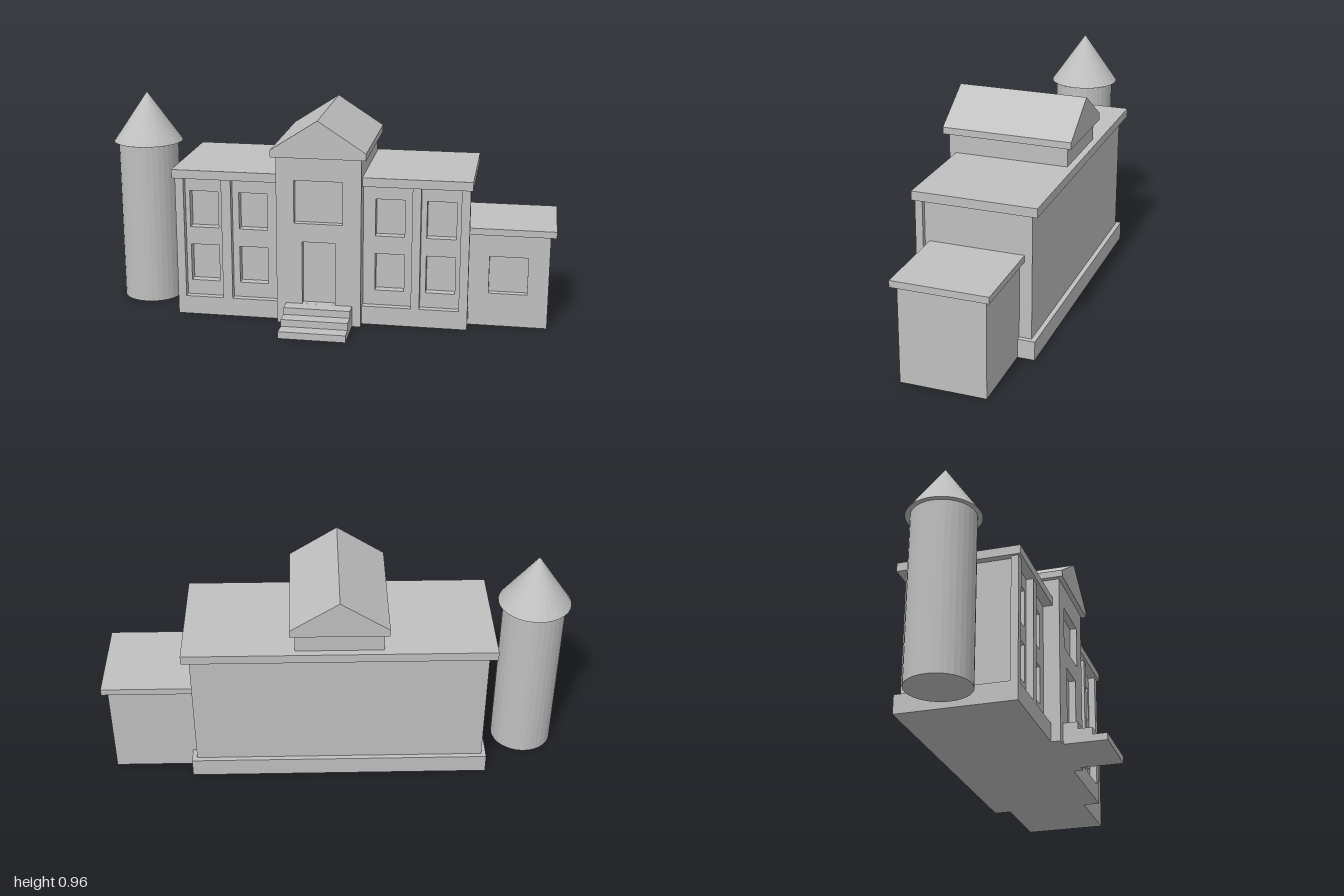
import * as THREE from 'three';

export function createModel() {
  const model = new THREE.Group();
  model.name = 'townHall';
  const stone = new THREE.MeshStandardMaterial({ color: 0xc0c0c0 });
  stone.name = 'light grey stone';

  function add(name, geometry, parent = model) {
    const mesh = new THREE.Mesh(geometry, stone);
    mesh.name = name;
    parent.add(mesh);
    return mesh;
  }

  // Box given by its limits on each axis
  function box(name, x0, x1, y0, y1, z0, z1, parent) {
    const g = new THREE.BoxGeometry(x1 - x0, y1 - y0, z1 - z0);
    g.translate((x0 + x1) / 2, (y0 + y1) / 2, (z0 + z1) / 2);
    return add(name, g, parent);
  }

  function rectPoints(x0, x1, y0, y1) {
    return [[x0, y0], [x1, y0], [x1, y1], [x0, y1]].map(p => new THREE.Vector2(...p));
  }

  // Solid block whose front layer has rectangular recesses [x0, x1, y0, y1]
  function recessedBlock(name, x0, x1, y1, zBack, zFront, depth, openings) {
    const group = new THREE.Group();
    group.name = name;
    model.add(group);
    box(name + 'Core', x0, x1, 0, y1, zBack, zFront - depth, group);
    const shape = new THREE.Shape(rectPoints(x0, x1, 0, y1));
    for (const o of openings) shape.holes.push(new THREE.Path(rectPoints(...o).reverse()));
    const g = new THREE.ExtrudeGeometry(shape, { depth, bevelEnabled: false });
    g.translate(0, 0, zFront - depth);
    add(name + 'Facade', g, group);
  }

  // Main building with two rows of windows
  const windows = [];
  for (const [x0, x1] of [[-0.598, -0.47], [-0.377, -0.25], [0.227, 0.354], [0.449, 0.576]]) {
    windows.push([x0, x1, 0.15, 0.318], [x0, x1, 0.398, 0.564]);
  }
  recessedBlock('mainWall', -0.635, 0.613, 0.628, -0.343, 0.115, 0.04, windows);
  box('plinth', -0.655, 0.634, 0, 0.083, -0.364, 0.146);
  box('mainRoof', -0.666, 0.644, 0.628, 0.667, -0.373, 0.157);

  // Pilasters between the window bays; the outer ones wrap the corners
  for (const [x0, x1] of [[-0.655, -0.618], [-0.449, -0.406], [0.388, 0.425], [0.596, 0.634]]) {
    box('pilaster', x0, x1, 0.083, 0.628, 0.115, 0.146);
  }
  box('cornerReturnLeft', -0.655, -0.634, 0.083, 0.628, 0.114, 0.146);
  box('cornerReturnRight', 0.612, 0.634, 0.083, 0.628, 0.114, 0.146);

  // Central block with door and upper window
  recessedBlock('centreBlock', -0.196, 0.174, 0.753, -0.343, 0.187, 0.03, [
    [-0.083, 0.061, 0.094, 0.377],
    [-0.118, 0.094, 0.46, 0.65],
  ]);

  // Gabled roof over its eave band
  box('eaveBand', -0.217, 0.196, 0.753, 0.783, -0.364, 0.208);
  const gable = new THREE.Shape([[-0.217, 0.783], [0.196, 0.783], [-0.011, 0.917]]
    .map(p => new THREE.Vector2(...p)));
  const gableGeometry = new THREE.ExtrudeGeometry(gable, { depth: 0.572, bevelEnabled: false });
  gableGeometry.translate(0, 0, -0.364);
  add('gableRoof', gableGeometry);

  // Entrance steps
  [0.375, 0.312, 0.25].forEach((z, i) => {
    box('step', -0.155, 0.137, i * 0.0313, (i + 1) * 0.0313, 0.187, z);
  });

  // Low side wing
  recessedBlock('wing', 0.61, 0.976, 0.419, -0.29, 0.073, 0.03, [[0.719, 0.885, 0.15, 0.318]]);
  box('wingRoof', 0.61, 1.0, 0.419, 0.448, -0.311, 0.094);

  // Free-standing round tower with a faceted cone roof
  const tower = new THREE.Group();
  tower.name = 'tower';
  tower.position.set(-0.845, 0, -0.104);
  model.add(tower);
  function faceted(geometry, y) {
    const g = geometry.toNonIndexed();
    g.computeVertexNormals();
    return g.translate(0, y, 0);
  }
  add('towerWall', faceted(new THREE.CylinderGeometry(0.134, 0.134, 0.733, 32), 0.3665), tower);
  add('towerRoof', faceted(new THREE.ConeGeometry(0.155, 0.224, 32), 0.845), tower);

  return model;
}
